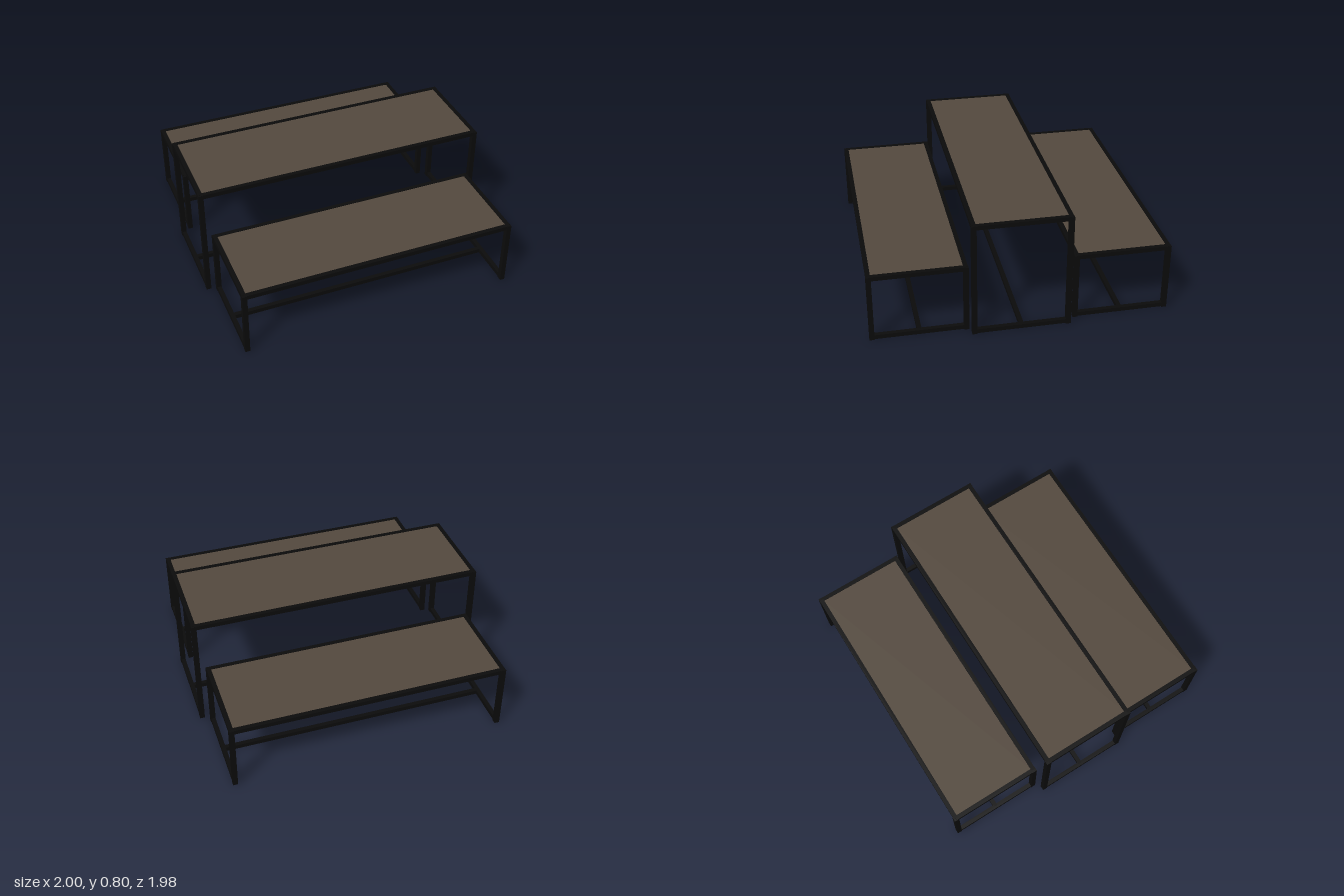
import * as THREE from 'three';

const LEG = 0.033;  // square leg tube
const RAIL = 0.029; // slightly slimmer rails

export function createModel() {
  const metal = new THREE.MeshStandardMaterial({ color: 0x0b0b0b });
  metal.name = 'blackMetal';
  const wood = new THREE.MeshStandardMaterial({ color: 0x54493e });
  wood.name = 'darkWood';

  // A tube-framed table or bench centred on x = 0, z = 0
  function framedTop(name, width, height, depth) {
    const group = new THREE.Group();
    group.name = name;
    const add = (part, w, h, d, x, y, z, material = metal) => {
      const mesh = new THREE.Mesh(new THREE.BoxGeometry(w, h, d), material);
      mesh.name = part;
      mesh.position.set(x, y, z);
      group.add(mesh);
    };
    const x = (width - LEG) / 2;
    const z = (depth - LEG) / 2;
    const topY = height - RAIL / 2;
    const lowY = 0.005 + RAIL / 2;

    for (const sx of [-1, 1]) {
      for (const sz of [-1, 1]) {
        add('leg', LEG, height - 0.002, LEG, sx * x, height / 2 - 0.001, sz * z);
      }
      add('endTopRail', RAIL, RAIL, depth - LEG, sx * x, topY, 0);
      add('endFloorRail', RAIL, RAIL, depth - LEG, sx * x, lowY, 0);
    }
    for (const sz of [-1, 1]) {
      add('longTopRail', width - LEG, RAIL, RAIL, 0, topY, sz * z);
    }
    // Low stretcher joining the middles of the two end frames
    add('stretcher', 2 * x, RAIL, RAIL, 0, lowY, 0);
    // Board set between the top rails
    add('board', 2 * x - RAIL, 0.023, 2 * z - RAIL, 0, height - 0.0145, 0, wood);
    return group;
  }

  const model = new THREE.Group();
  model.name = 'tableWithBenches';

  const table = framedTop('table', 2, 0.795, 0.65);
  table.position.z = 0.01;
  model.add(table);

  for (const [name, side] of [['frontBench', 1], ['backBench', -1]]) {
    const bench = framedTop(name, 1.875, 0.47, 0.645);
    bench.position.z = side * 0.666;
    model.add(bench);
  }
  return model;
}
